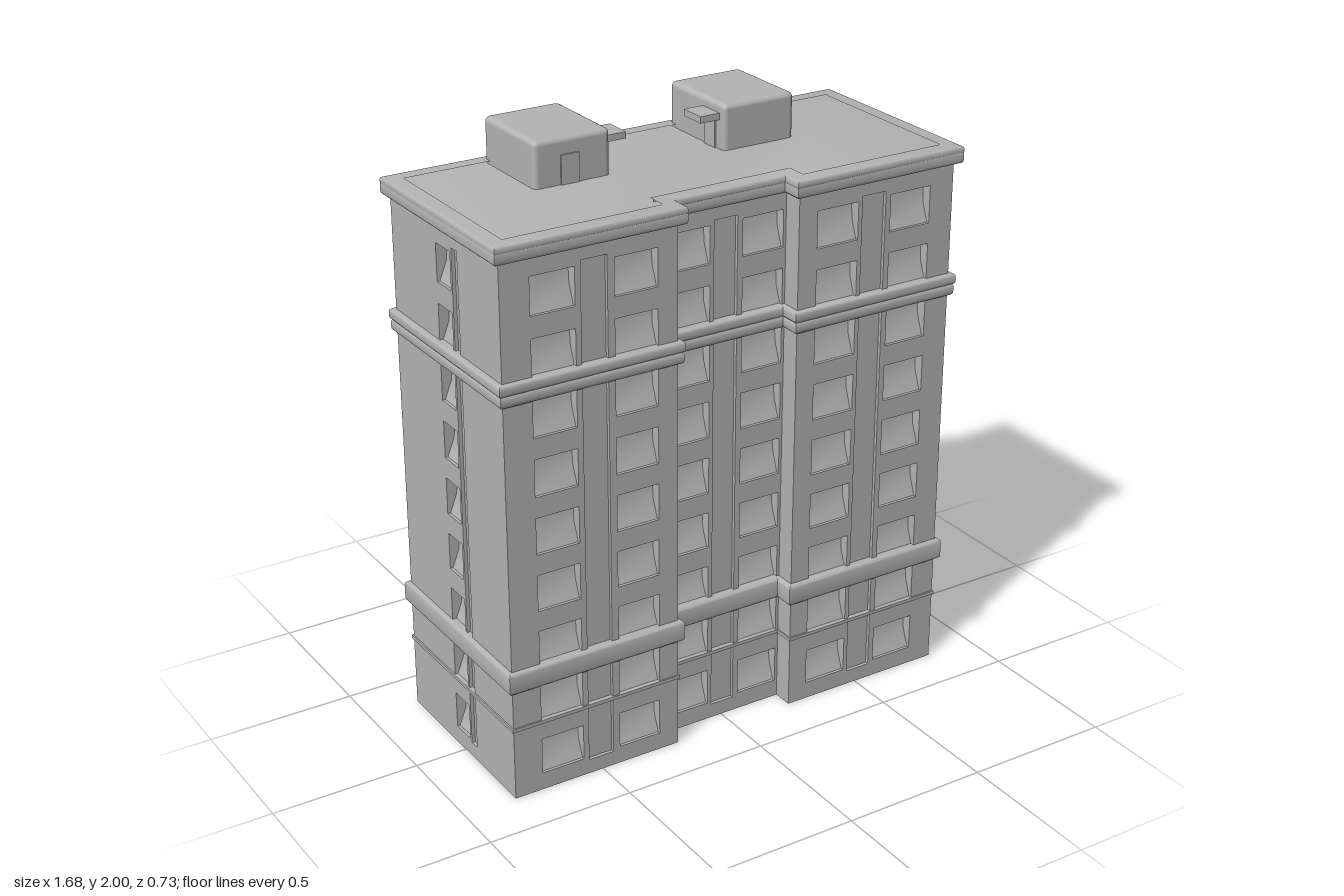
import * as THREE from 'three';
import { mergeGeometries, toCreasedNormals } from 'three/addons/utils/BufferGeometryUtils.js';
import { RoundedBoxGeometry } from 'three/addons/geometries/RoundedBoxGeometry.js';

const BACK = -0.35, FRONT = 0.335, NOTCH_Z = 0.265, SIDE = 0.82;
const NOTCH_L = -0.215, NOTCH_R = 0.225, WALL_TOP = 1.82, RECESS = 0.04;

// Plan outline of the building, pushed outward by o
function outline(o) {
  return [
    [-SIDE - o, BACK - o], [SIDE + o, BACK - o], [SIDE + o, FRONT + o], [NOTCH_R - o, FRONT + o],
    [NOTCH_R - o, NOTCH_Z + o], [NOTCH_L + o, NOTCH_Z + o], [NOTCH_L + o, FRONT + o], [-SIDE - o, FRONT + o],
  ].map(([x, z]) => new THREE.Vector2(x, -z));
}

// Horizontal layer following the plan, with rounded edges and an optional opening
function layer(y0, y1, o, round = 0, inner = null) {
  const shape = new THREE.Shape(outline(o - round));
  if (inner !== null) shape.holes.push(new THREE.Path(outline(inner - round)));
  const geo = new THREE.ExtrudeGeometry(shape, {
    depth: y1 - y0 - 2 * round, bevelEnabled: round > 0, bevelSize: round, bevelThickness: round, bevelSegments: 3,
  });
  geo.rotateX(-Math.PI / 2).translate(0, y0 + round, 0);
  return toCreasedNormals(geo, 0.7);
}

function rectPath(x0, x1, y0, y1) {
  return new THREE.Path([[x0, y0], [x1, y0], [x1, y1], [x0, y1]].map(p => new THREE.Vector2(...p)));
}

export function createModel() {
  const model = new THREE.Group();
  model.name = 'apartmentBuilding';
  const stone = new THREE.MeshStandardMaterial({ color: 0xb4b4b4 });
  stone.name = 'grey stone';

  function add(name, geo, parent = model) {
    const mesh = new THREE.Mesh(geo, stone);
    mesh.name = name;
    parent.add(mesh);
    return mesh;
  }

  // Facade in its own plane: window openings, sloping panes and recessed vertical strips
  function facade(name, x0, x1, windows, strips, thick = RECESS) {
    const group = new THREE.Group();
    group.name = name;
    const shape = new THREE.Shape(rectPath(x0, x1, 0, WALL_TOP).getPoints());
    const panes = [], plates = [];
    for (const [a, b] of windows) {
      for (let i = 0; i < 9; i++) {
        const y = 0.06 + 0.195 * i, h = 0.125;
        shape.holes.push(rectPath(a, b, y, y + h));
        const pane = new THREE.PlaneGeometry(b - a, h, 1, 2);
        const p = pane.attributes.position;
        for (let k = 0; k < p.count; k++) p.setZ(k, [-0.038, -0.034, -0.01][Math.floor(k / 2)]);
        pane.translate((a + b) / 2, y + h / 2, 0);
        pane.computeVertexNormals();
        panes.push(pane);
      }
    }
    for (const [a, b] of strips) {
      shape.holes.push(rectPath(a, b, 0.05, 1.76));
      plates.push(new THREE.BoxGeometry(b - a, 1.71, 0.03).translate((a + b) / 2, 0.905, -0.027));
    }
    const wall = new THREE.ExtrudeGeometry(shape, { depth: thick, bevelEnabled: false });
    add('wall', wall.translate(0, 0, -thick), group);
    add('windows', mergeGeometries(panes), group);
    add('strips', mergeGeometries(plates), group);
    model.add(group);
    return group;
  }

  // Core behind the facades
  add('core', layer(0, WALL_TOP, -RECESS));

  // Front wings and set-back centre
  const leftCols = [[-0.72, -0.57], [-0.435, -0.285]];
  const midCols = [[-0.2, -0.055], [0.065, 0.215]];
  const rightCols = [[0.295, 0.45], [0.575, 0.73]];
  const stripL = [-0.55, -0.46], stripM = [-0.04, 0.045], stripR = [0.465, 0.555];
  facade('frontRightWing', -SIDE, NOTCH_L, leftCols, [stripL], 0.075).position.z = FRONT;
  facade('frontLeftWing', NOTCH_R, SIDE, rightCols, [stripR], 0.075).position.z = FRONT;
  facade('frontCentre', NOTCH_L, NOTCH_R, midCols, [stripM]).position.z = NOTCH_Z;

  // Back wall, with the same columns seen from behind
  const flip = list => list.map(([a, b]) => [-b, -a]);
  const back = facade('backWall', -SIDE, SIDE,
    flip([...leftCols, ...midCols, ...rightCols]), flip([stripL, stripM, stripR]));
  back.rotation.y = Math.PI;
  back.position.z = BACK;

  // Side walls with one narrow window column each
  const left = facade('leftWall', -FRONT, -BACK, [[-0.035, 0.055]], [[-0.08, -0.045]]);
  left.rotation.y = Math.PI / 2;
  left.position.x = SIDE;
  const right = facade('rightWall', BACK, FRONT, [[-0.055, 0.035]], [[0.045, 0.08]]);
  right.rotation.y = -Math.PI / 2;
  right.position.x = -SIDE;

  // String courses
  add('baseLedge', layer(0.245, 0.257, 0.005));
  add('lowerBand', layer(0.385, 0.46, 0.016, 0.012));
  add('upperBandBottom', layer(1.355, 1.395, 0.014, 0.01));
  add('upperBandTop', layer(1.393, 1.43, 0.018, 0.01));

  // Cornice, roof deck and low lip
  add('cornice', layer(1.805, 1.85, 0.022, 0.01));
  add('roofLip', layer(1.835, 1.862, 0.022, 0.008, -0.025));

  // Rooftop stair houses with side canopies and doors
  for (const [name, x, s] of [['rightStairHouse', -0.355, 1], ['leftStairHouse', 0.327, -1]]) {
    const house = new THREE.Group();
    house.name = name;
    house.position.set(x, 0, -0.197);
    const body = new RoundedBoxGeometry(0.268, 0.17, 0.316, 3, 0.018);
    add('body', body.translate(0, 1.915, 0), house);
    add('canopy', new THREE.BoxGeometry(0.08, 0.022, 0.095).translate(s * 0.165, 1.957, 0.085), house);
    add('sideDoor', new THREE.BoxGeometry(0.016, 0.1, 0.06).translate(s * 0.132, 1.895, 0.085), house);
    if (s > 0) add('frontDoor', new THREE.BoxGeometry(0.065, 0.1, 0.012).translate(-0.01, 1.895, 0.157), house);
    model.add(house);
  }
  return model;
}
